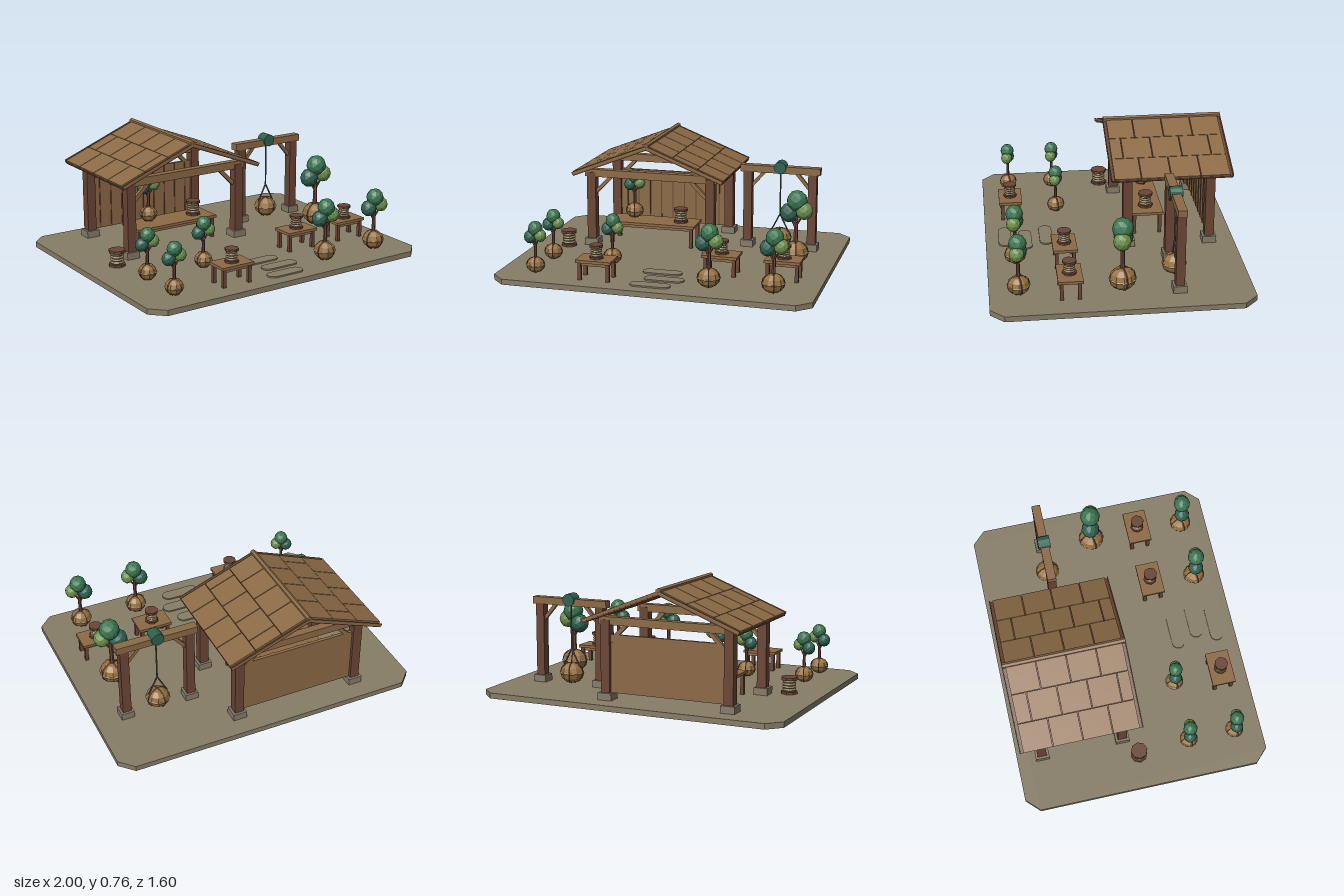
import * as THREE from 'three';

const mat = (name, color) => Object.assign(new THREE.MeshStandardMaterial({ color, flatShading: true }), { name });
const ground = mat('earth', 0x877d68), stone = mat('stone', 0x857c6a), wood = mat('light wood', 0x8c6a46),
  dark = mat('dark wood', 0x6b4636), burlap = mat('burlap', 0x96703f), rope = mat('rope', 0xa08a64),
  leafMid = mat('leaf green', 0x3a7550), leafDark = mat('deep green', 0x2f6150),
  leafLight = mat('light green', 0x6c8f4c), cable = mat('cable', 0x595a4a);

const BASE = 0.035;

function add(parent, name, geo, material, x = 0, y = 0, z = 0) {
  const m = new THREE.Mesh(geo, material);
  m.name = name;
  m.position.set(x, y, z);
  parent.add(m);
  return m;
}
const box = (p, name, w, h, d, m, x, y, z) => add(p, name, new THREE.BoxGeometry(w, h, d), m, x, y, z);
const cyl = (p, name, r, h, m, x, y, z, n = 8) => add(p, name, new THREE.CylinderGeometry(r, r, h, n), m, x, y, z);

function group(parent, name, x, y, z, s = 1) {
  const g = new THREE.Group();
  g.name = name;
  g.position.set(x, y, z);
  g.scale.setScalar(s);
  parent.add(g);
  return g;
}

// Round bar between two points
function bar(p, name, a, b, r0, r1, m, n = 6) {
  const A = new THREE.Vector3(...a), B = new THREE.Vector3(...b), d = B.clone().sub(A);
  const mesh = add(p, name, new THREE.CylinderGeometry(r1, r0, d.length(), n), m);
  mesh.position.copy(A).add(B).multiplyScalar(0.5);
  mesh.quaternion.setFromUnitVectors(new THREE.Vector3(0, 1, 0), d.normalize());
}

// Square brace in the x-y plane
function brace(p, x0, y0, x1, y1, z, t) {
  const b = box(p, 'brace', Math.hypot(x1 - x0, y1 - y0), t, t, wood, (x0 + x1) / 2, (y0 + y1) / 2, z);
  b.rotation.z = Math.atan2(y1 - y0, x1 - x0);
}

// Wrapped root ball with tied bands
function rootBall(p) {
  const b = group(p, 'rootBall', 0, 0.066, 0);
  b.scale.y = 0.88;
  add(b, 'burlapBall', new THREE.SphereGeometry(0.069, 10, 6), burlap);
  add(b, 'waistRope', new THREE.TorusGeometry(0.067, 0.005, 4, 12), rope).rotation.x = Math.PI / 2;
  for (const a of [0.25, 0.25 + Math.PI / 2])
    add(b, 'ballStrap', new THREE.TorusGeometry(0.068, 0.004, 4, 14), dark).rotation.y = a;
}

function tree(p, x, z, s, y = BASE) {
  const t = group(p, 'tree', x, y, z, s);
  rootBall(t);
  bar(t, 'trunk', [0, 0.11, 0], [0.004, 0.31, 0], 0.013, 0.009, dark);
  bar(t, 'branch', [0, 0.2, 0], [-0.035, 0.26, -0.01], 0.007, 0.005, dark);
  bar(t, 'branch', [0, 0.21, 0], [0.045, 0.28, 0.01], 0.007, 0.005, dark);
  const blobs = [[0.005, 0.345, 0, 0.055, leafMid], [-0.038, 0.277, -0.008, 0.05, leafDark],
    [0.046, 0.295, 0.008, 0.046, leafLight]];
  for (const [bx, by, bz, r, m] of blobs)
    add(t, 'foliage', new THREE.IcosahedronGeometry(r, 1), m, bx, by, bz).scale.y = 1.06;
}

// Rope reel between two flanges
function spool(p, x, y, z, s = 1) {
  const g = group(p, 'ropeSpool', x, y, z, s);
  cyl(g, 'flange', 0.044, 0.012, dark, 0, 0.006, 0);
  cyl(g, 'core', 0.028, 0.07, rope, 0, 0.042, 0);
  for (let i = 0; i < 4; i++)
    add(g, 'ropeCoil', new THREE.TorusGeometry(0.029, 0.0075, 5, 10), rope, 0, 0.02 + i * 0.0145, 0).rotation.x = Math.PI / 2;
  cyl(g, 'flange', 0.044, 0.014, dark, 0, 0.079, 0);
}

function table(p, name, x, z, w, d, top) {
  const g = group(p, name, x, BASE, z);
  const h = top - BASE;
  box(g, 'tableTop', w, 0.018, d, wood, 0, h - 0.009, 0);
  for (const sx of [-1, 1]) for (const sz of [-1, 1])
    box(g, 'leg', 0.022, h - 0.018, 0.022, dark, sx * (w / 2 - 0.022), (h - 0.018) / 2, sz * (d / 2 - 0.022));
  for (const s of [-1, 1])
    box(g, 'apron', w - 0.04, 0.02, 0.01, wood, 0, h - 0.028, s * (d / 2 - 0.022));
}

function post(p, x, z, w, top) {
  box(p, 'footing', w * 1.5, 0.045, w * 1.5, stone, x, BASE + 0.0225, z);
  box(p, 'post', w, top - 0.08, w, dark, x, (top + 0.08) / 2, z);
}

function pavilion(root) {
  const p = group(root, 'pavilion', -0.232, 0, 0);
  const half = 0.405, zs = [-0.105, -0.635];
  for (const z of zs) {
    for (const s of [-1, 1]) {
      post(p, s * half, z, 0.06, 0.53);
      brace(p, s * (half - 0.03), 0.4, s * (half - 0.13), 0.5, z, 0.025);
    }
    box(p, 'crossBeam', 0.9, 0.05, 0.05, wood, 0, 0.525, z);
  }
  // Back wall with battens
  box(p, 'backWall', 2 * half - 0.06, 0.36, 0.02, wood, 0, 0.26, -0.635);
  for (let i = -4; i <= 4; i++) box(p, 'batten', 0.007, 0.36, 0.006, dark, i * 0.083, 0.26, -0.623);

  // Two roof slopes, each with three staggered rows of tiles
  const run = 0.507, drop = 0.2, len = Math.hypot(run, drop);
  for (const s of [-1, 1]) {
    const slope = group(p, 'roofSlope', 0, 0.73, -0.378);
    slope.rotation.z = -s * Math.atan2(drop, run);
    box(slope, 'roofDeck', len, 0.014, 0.765, dark, s * len / 2, -0.007, 0);
    const row = len / 3, zMin = -0.367, zMax = 0.367, tile = 0.188;
    for (let r = 0; r < 3; r++) {
      const start = zMin - (r % 2 ? tile / 2 : 0);
      for (let a = start; a < zMax - 0.01; a += tile) {
        const z0 = Math.max(a, zMin), z1 = Math.min(a + tile, zMax);
        box(slope, 'roofTile', row - 0.003, 0.014, z1 - z0 - 0.005, wood, s * (r + 0.5) * row, 0.007, (z0 + z1) / 2);
      }
    }
    for (const e of [-1, 1])
      box(slope, 'bargeBoard', len, 0.018, 0.006, wood, s * len / 2, 0.004, e * 0.3845);
  }
  cyl(p, 'ridgePole', 0.018, 0.77, wood, 0, 0.742, -0.378, 6).rotation.x = Math.PI / 2;
}

function hoist(root) {
  const h = group(root, 'hoist', 0.585, 0, -0.345);
  for (const s of [-1, 1]) {
    post(h, s * 0.215, 0, 0.056, 0.55);
    brace(h, s * 0.19, 0.45, s * 0.105, 0.55, 0, 0.022);
  }
  box(h, 'hoistBeam', 0.53, 0.046, 0.056, wood, 0, 0.567, 0);
  cyl(h, 'pulley', 0.041, 0.078, leafDark, 0, 0.583, 0, 12).rotation.x = Math.PI / 2;
  bar(h, 'cable', [0, 0.56, 0], [0, 0.265, 0], 0.005, 0.005, cable);
  for (const s of [-1, 1]) bar(h, 'sling', [0, 0.265, 0], [s * 0.06, 0.145, 0], 0.005, 0.005, cable);
  rootBall(group(h, 'hangingBall', 0, BASE, 0, 1.1));
}

export function createModel() {
  const root = new THREE.Group();
  root.name = 'treeNursery';

  // Ground slab with cut corners
  const c = 0.085, X = 1, Z = 0.8;
  const outline = new THREE.Shape([[-X + c, -Z], [X - c, -Z], [X, -Z + c], [X, Z - c], [X - c, Z],
    [-X + c, Z], [-X, Z - c], [-X, -Z + c]].map(([x, y]) => new THREE.Vector2(x, y)));
  const slab = new THREE.ExtrudeGeometry(outline, { depth: BASE, bevelEnabled: false });
  add(root, 'groundSlab', slab.rotateX(-Math.PI / 2), ground);

  // Stepping stones with rounded ends
  for (const [x, z] of [[0.0, 0.41], [0.05, 0.545], [0, 0.675]]) {
    const r = 0.042, k = 0.085, s = new THREE.Shape();
    s.absarc(k, 0, r, -Math.PI / 2, Math.PI / 2);
    s.absarc(-k, 0, r, Math.PI / 2, Math.PI * 1.5);
    const g = new THREE.ExtrudeGeometry(s, { depth: 0.009, bevelEnabled: false, curveSegments: 5 });
    add(root, 'steppingStone', g.rotateX(-Math.PI / 2), ground, x, BASE, z);
  }

  pavilion(root);
  hoist(root);

  // Work table with its tree and spool
  table(root, 'longTable', -0.252, -0.255, 0.595, 0.21, 0.185);
  tree(root, -0.4, -0.275, 0.84, 0.185);
  spool(root, -0.07, 0.185, -0.255, 1.1);

  // Small tables with spools
  for (const [x, z] of [[0.355, 0.315], [0.748, 0.315], [-0.358, 0.622]]) {
    table(root, 'smallTable', x, z, 0.225, 0.152, 0.165);
    spool(root, x, 0.165, z);
  }
  spool(root, -0.78, BASE, -0.02, 1.22);

  // Free-standing trees
  for (const [x, z, s] of [[-0.76, 0.315, 0.83], [-0.36, 0.315, 0.83], [-0.76, 0.62, 0.83],
    [0.35, 0.62, 1], [0.745, 0.62, 1], [0.755, -0.005, 1.2]]) tree(root, x, z, s);
  return root;
}
